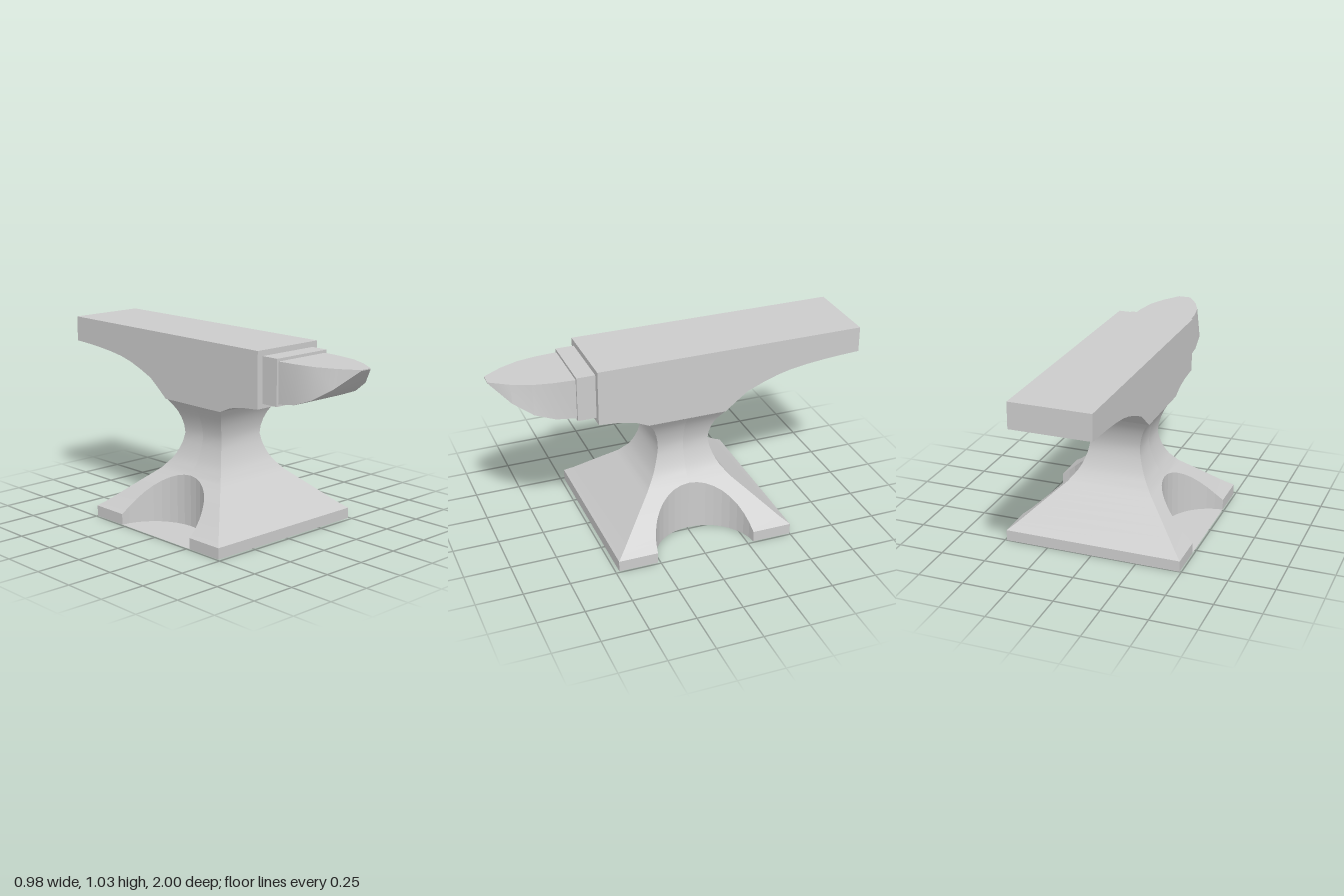
import * as THREE from 'three';
import { toCreasedNormals } from 'three/addons/utils/BufferGeometryUtils.js';

const material = new THREE.MeshStandardMaterial({ color: 0xcccccc, side: THREE.DoubleSide });

function add(parent, name, geometry) {
  const mesh = new THREE.Mesh(geometry, material);
  mesh.name = name;
  parent.add(mesh);
  return mesh;
}

// Surface through rows of points; each row runs left to right, rows run upwards, seen from outside.
function loft(rows, crease = 0.4) {
  const n = rows[0].length;
  const index = [];
  for (let r = 0; r < rows.length - 1; r++) {
    for (let i = 0; i < n - 1; i++) {
      const a = r * n + i, b = a + 1, c = a + n, d = c + 1;
      index.push(a, b, d, a, d, c);
    }
  }
  const geometry = new THREE.BufferGeometry();
  geometry.setAttribute('position', new THREE.Float32BufferAttribute(rows.flat(2), 3));
  geometry.setIndex(index);
  geometry.computeVertexNormals();
  return toCreasedNormals(geometry, crease);
}

// Half width and height of the flared foot, from its edge up to the scoop's apex, then the waist
const HALF = 0.49, SLAB = 0.06;
const FLARE = [[0.49, 0.06], [0.44, 0.1], [0.38, 0.155], [0.3, 0.227], [0.26, 0.262], [0.235, 0.285]];
const WAIST = [[0.22, 0.305], [0.195, 0.336], [0.178, 0.367], [0.164, 0.4], [0.151, 0.44], [0.143, 0.483],
  [0.147, 0.525], [0.157, 0.566], [0.172, 0.605], [0.191, 0.638], [0.215, 0.672]];

function flareHeight(h) {
  for (let i = 0; i < FLARE.length - 1; i++) {
    const [h0, y0] = FLARE[i], [h1, y1] = FLARE[i + 1];
    if (h >= h1 - 1e-6) return y0 + (y1 - y0) * (h - h0) / (h1 - h0);
  }
  return FLARE[FLARE.length - 1][1];
}

function createStand() {
  const stand = new THREE.Group();
  stand.name = 'stand';

  // Upright round scoop in each side of the foot: levels hold half width, height and scoop half width
  const radius = 0.275, centre = 0.51, steps = 9;
  const maxAngle = Math.acos((centre - HALF) / radius);
  const scoop = [];
  for (let i = 0; i <= steps; i++) {
    const angle = maxAngle * (1 - i / steps);
    const h = centre - radius * Math.cos(angle);
    scoop.push([h, flareHeight(h), radius * Math.sin(angle)]);
  }
  const levels = [...scoop, ...WAIST.map(([h, y]) => [h, y, 0])];
  const slab = [[HALF, 0, scoop[0][2]], [HALF, SLAB, scoop[0][2]]];
  const arc = [...scoop, ...scoop.slice(0, -1).reverse().map(([h, y, z]) => [h, y, -z])];

  // One front and one side face, repeated half a turn round
  for (const turn of [0, Math.PI]) {
    const half = new THREE.Group();
    half.name = turn ? 'standBackAndRight' : 'standFrontAndLeft';
    half.rotation.y = turn;
    for (const [part, rows] of [['pillar', levels], ['footEdge', slab]]) {
      add(half, part + 'Face', loft(rows.map(([h, y]) => [[-h, y, h], [h, y, h]])));
      add(half, part + 'SideA', loft(rows.map(([h, y, z]) => [[h, y, h], [h, y, z]])));
      add(half, part + 'SideB', loft(rows.map(([h, y, z]) => [[h, y, -z], [h, y, -h]])));
    }
    add(half, 'scoopWall', loft([arc.map(([h, , z]) => [h, 0, z]), arc.map(([h, y, z]) => [h, y, z])], 0.1));
    stand.add(half);
  }

  // Underside, cut out on the left only
  const outline = new THREE.Shape();
  outline.moveTo(-HALF, -HALF);
  outline.lineTo(HALF, -HALF);
  [...arc].reverse().forEach(([h, , z]) => outline.lineTo(h, z));
  outline.lineTo(HALF, HALF);
  outline.lineTo(-HALF, HALF);
  outline.closePath();
  add(stand, 'underside', new THREE.ShapeGeometry(outline).rotateX(Math.PI / 2));

  stand.position.z = -0.01;
  return stand;
}

export function createModel() {
  const anvil = new THREE.Group();
  anvil.name = 'anvil';
  anvil.add(createStand());

  // Body with the long curved heel: side profile as (z, y)
  const profile = [[0.48, 1.03], [-1, 1.03], [-1, 0.89], [-0.9, 0.885], [-0.8, 0.878], [-0.7, 0.868],
    [-0.6, 0.853], [-0.52, 0.833], [-0.44, 0.805], [-0.35, 0.767], [-0.29, 0.722], [-0.225, 0.67],
    [0.205, 0.67], [0.28, 0.703], [0.36, 0.72], [0.48, 0.73]];
  const body = new THREE.ExtrudeGeometry(
    new THREE.Shape(profile.map(([z, y]) => new THREE.Vector2(z, y))), { depth: 0.434, bevelEnabled: false });
  body.translate(0, 0, -0.217).rotateY(-Math.PI / 2);
  add(anvil, 'body', toCreasedNormals(body, 0.3)).position.x = -0.003;

  // Step between body and horn
  add(anvil, 'neck', new THREE.BoxGeometry(0.364, 0.245, 0.12)).position.set(-0.003, 0.8775, 0.52);

  // Horn: flat top, curved underside; sections are z, top half width, bottom half width, bottom height
  const top = 0.985;
  const sections = [[0.57, 0.17, 0.17, 0.765], [0.69, 0.162, 0.17, 0.781], [0.8, 0.142, 0.16, 0.822],
    [0.9, 0.1, 0.118, 0.886], [1, 0.035, 0.035, 0.98]];
  const rings = sections.map(([z, a, b, y]) => [[a, top, z], [-a, top, z], [-b, y, z], [b, y, z], [a, top, z]]);
  rings.push(Array.from({ length: 5 }, () => [0, 0.9825, 1]));
  add(anvil, 'horn', loft(rings, 0.3)).position.x = -0.003;

  return anvil;
}
